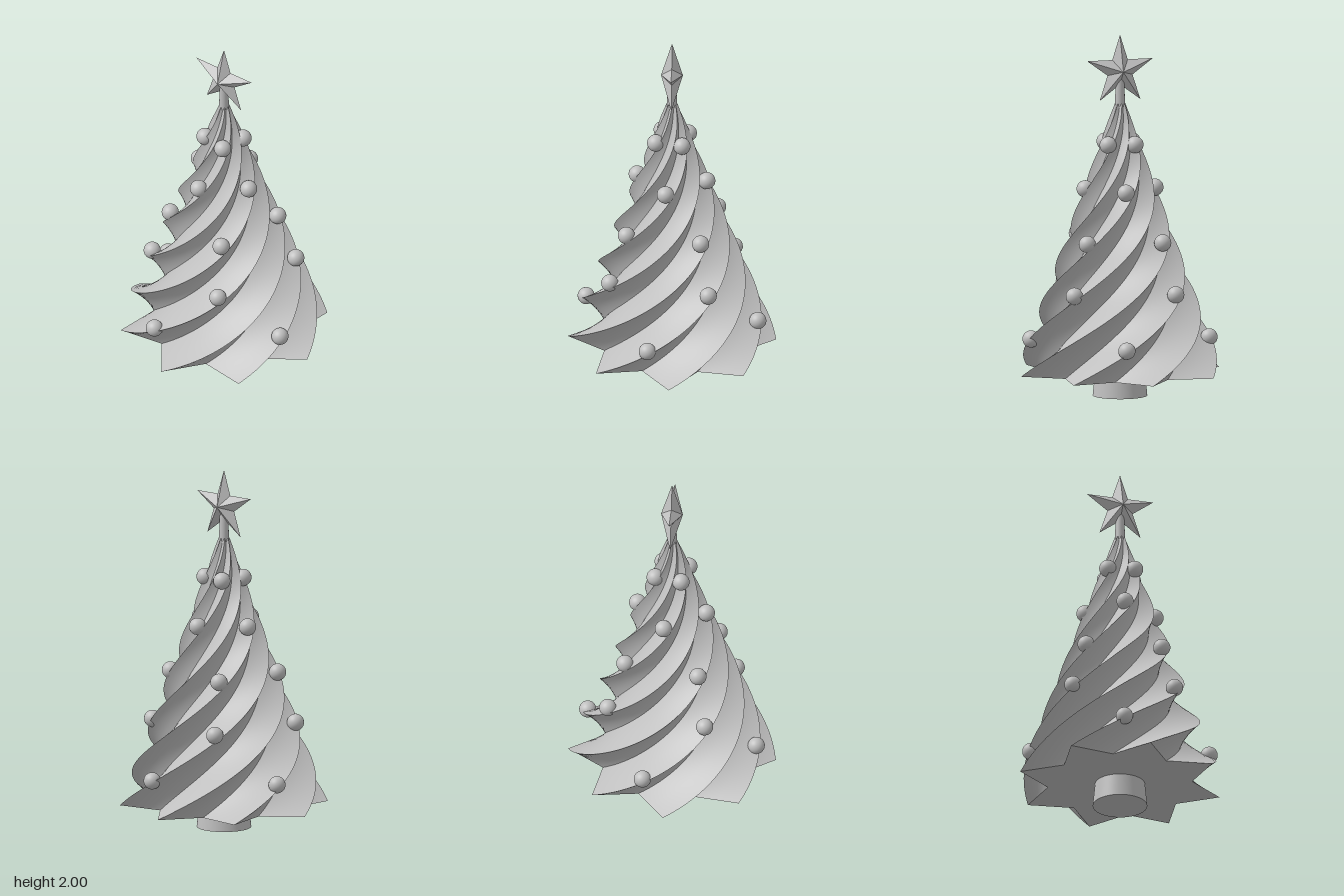
import * as THREE from 'three';

const BASE_Y = 0.13, TOP_Y = 1.62, BASE_R = 0.572, TOP_R = 0.03;
const VALLEY = 0.695, POINTS = 8, TWIST = Math.PI * 1.5, STEPS = 120;

function geometryFrom(positions, index) {
  const g = new THREE.BufferGeometry();
  g.setAttribute('position', new THREE.Float32BufferAttribute(positions, 3));
  if (index) g.setIndex(index);
  g.computeVertexNormals();
  return g;
}

// Corner k of the star-shaped cross-section at height fraction t
function corner(k, t) {
  const r = THREE.MathUtils.lerp(BASE_R, TOP_R, t) * (k % 2 ? VALLEY : 1);
  const a = (k * Math.PI) / POINTS + TWIST * t;
  return [r * Math.cos(a), THREE.MathUtils.lerp(BASE_Y, TOP_Y, t), -r * Math.sin(a)];
}

// Twisted, tapering foliage: each flank is its own strip so ridges stay sharp
function foliageGeometry() {
  const pos = [], idx = [];
  const ACROSS = 4;
  for (let k = 0; k < POINTS * 2; k++) {
    const start = pos.length / 3, row = ACROSS + 1;
    for (let i = 0; i <= STEPS; i++) {
      const a = corner(k, i / STEPS), b = corner(k + 1, i / STEPS);
      for (let j = 0; j <= ACROSS; j++) {
        const s = j / ACROSS;
        pos.push(...a.map((v, n) => v + (b[n] - v) * s));
      }
    }
    for (let i = 0; i < STEPS; i++) {
      for (let j = 0; j < ACROSS; j++) {
        const p = start + i * row + j;
        idx.push(p, p + 1, p + row + 1, p, p + row + 1, p + row);
      }
    }
  }
  // Flat caps
  for (const t of [0, 1]) {
    const y = t ? TOP_Y : BASE_Y;
    for (let k = 0; k < POINTS * 2; k++) {
      const a = corner(k, t), b = corner(k + 1, t), n = pos.length / 3;
      pos.push(0, y, 0, ...(t ? a : b), ...(t ? b : a));
      idx.push(n, n + 1, n + 2);
    }
  }
  return geometryFrom(pos, idx);
}

// Faceted five-pointed star, peaked on both faces
function starGeometry(outer, inner, depth) {
  const pos = [];
  const rim = (i) => {
    const a = Math.PI / 2 + (i * Math.PI) / 5, r = i % 2 ? inner : outer;
    return [r * Math.cos(a), r * Math.sin(a), 0];
  };
  for (let i = 0; i < 10; i++) {
    pos.push(0, 0, depth, ...rim(i), ...rim(i + 1));
    pos.push(0, 0, -depth, ...rim(i + 1), ...rim(i));
  }
  return geometryFrom(pos);
}

export function createModel() {
  const model = new THREE.Group();
  model.name = 'christmasTree';
  const grey = new THREE.MeshStandardMaterial({ color: 0xc0c0c0 });
  grey.name = 'light grey';

  const add = (name, geometry, x, y, z) => {
    const mesh = new THREE.Mesh(geometry, grey);
    mesh.name = name;
    mesh.position.set(x, y, z);
    model.add(mesh);
  };

  add('trunk', new THREE.CylinderGeometry(0.136, 0.15, 0.14, 64), 0, 0.07, 0);
  add('foliage', foliageGeometry(), 0, 0, 0);
  add('starStem', new THREE.CylinderGeometry(0.025, 0.027, 0.18, 24), 0, 1.68, 0);
  add('star', starGeometry(0.2, 0.076, 0.06), 0, 1.8, 0);

  // Baubles: four per tier, a quarter turn apart [x, y, z]
  const bauble = new THREE.SphereGeometry(0.047, 32, 20);
  const tiers = [
    [0.475, 0.318, 0.12], [0.335, 0.595, -0.21], [0.245, 0.872, -0.165],
    [0.192, 1.15, 0.03], [0.088, 1.4, -0.057],
  ];
  for (const [x, y, z] of tiers) {
    for (let q = 0, px = x, pz = z; q < 4; q++) {
      add('bauble', bauble, px, y, pz);
      [px, pz] = [pz, -px];
    }
  }
  return model;
}
